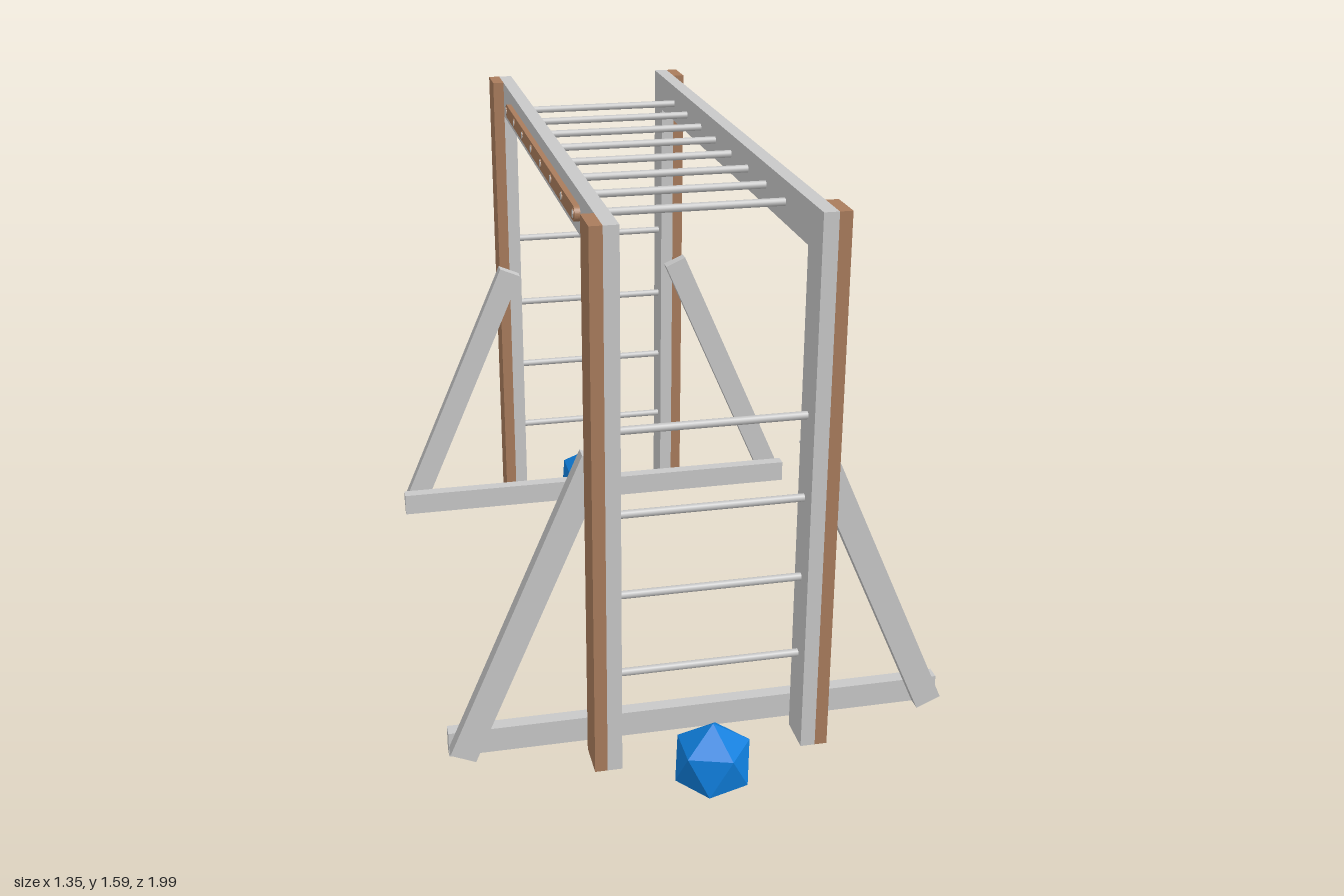
import * as THREE from 'three';

export function createModel() {
  const root = new THREE.Group();
  root.name = 'climbingFrame';

  const mat = (name, color) => {
    const m = new THREE.MeshStandardMaterial({ color });
    m.name = name;
    return m;
  };
  const paleGrey = mat('paleGrey', 0xc8c8c8);
  const silver = mat('silver', 0xc4c4c4);
  const brown = mat('brown', 0xa97c5c);
  const blue = mat('blue', 0x0f7edc);

  const add = (name, geometry, material, x = 0, y = 0, z = 0) => {
    const mesh = new THREE.Mesh(geometry, material);
    mesh.name = name;
    mesh.position.set(x, y, z);
    root.add(mesh);
    return mesh;
  };
  // Box given by its lower and upper limits
  const block = (name, material, [x0, x1], [y0, y1], [z0, z1]) =>
    add(name, new THREE.BoxGeometry(x1 - x0, y1 - y0, z1 - z0), material,
      (x0 + x1) / 2, (y0 + y1) / 2, (z0 + z1) / 2);
  const mirror = (range, s) => (s > 0 ? range : [-range[1], -range[0]]);
  // Round bar lying along x
  const bar = (name, material, r, length, x, y, z) =>
    add(name, new THREE.CylinderGeometry(r, r, length, 16).rotateZ(Math.PI / 2), material, x, y, z);

  const rungY = 1.53;
  const rungZ = Array.from({ length: 8 }, (_, i) => 0.596 - 0.174 * i);

  for (const sx of [1, -1]) {
    const side = sx > 0 ? 'left' : 'right';

    // Long top beam
    block(side + 'TopBeam', paleGrey, mirror([0.242, 0.281], sx), [1.475, 1.585], [-0.902, 0.902]);

    // Rounded strip that holds the rung ends
    const r = 0.02, zFront = 0.613 - r, zBack = -0.643 + r;
    const strip = new THREE.Shape();
    strip.absarc(zFront, 0, r, -Math.PI / 2, Math.PI / 2, false);
    strip.absarc(zBack, 0, r, Math.PI / 2, Math.PI * 1.5, false);
    strip.closePath();
    const stripGeo = new THREE.ExtrudeGeometry(strip, { depth: 0.015, bevelEnabled: false, curveSegments: 10 });
    stripGeo.translate(0, 0, -0.0075).rotateY(-Math.PI / 2);
    add(side + 'RungStrip', stripGeo, brown, sx * 0.2885, rungY, 0);
    for (const z of rungZ) bar('rungCollar', brown, 0.0125, 0.016, sx * 0.29, rungY, z);

    for (const sz of [1, -1]) {
      // Double posts: grey inside, brown outside
      const postZ = mirror([0.795, 0.902], sz);
      block('innerPost', paleGrey, mirror([0.242, 0.281], sx), [0.12, 1.475], postZ);
      block('outerPost', brown, mirror([0.281, 0.314], sx), [0.12, 1.585], postZ);

      // Slanted brace from foot beam to post
      const brace = add('brace', new THREE.BoxGeometry(0.072, 0.898, 0.039), paleGrey,
        sx * 0.464, 0.546, sz * 0.7745);
      brace.rotation.z = sx * 0.412;
    }
  }

  // Overhead rungs
  for (const z of rungZ) bar('overheadRung', silver, 0.0105, 0.598, 0, rungY, z);

  for (const sz of [1, -1]) {
    // Foot beam
    block('footBeam', paleGrey, [-0.677, 0.677], [0.12, 0.19], mirror([0.716, 0.755], sz));

    // Ladder rungs between the posts
    for (let i = 0; i < 4; i++) bar('ladderRung', silver, 0.0105, 0.54, 0, 0.373 + 0.226 * i, sz * 0.842);

    // Faceted ball standing on one corner
    const ball = new THREE.IcosahedronGeometry(0.112, 0);
    ball.rotateZ(-Math.atan(2 / (1 + Math.sqrt(5))));
    add('ball', ball, blue, 0, 0.112, sz * 0.902);
  }

  return root;
}
